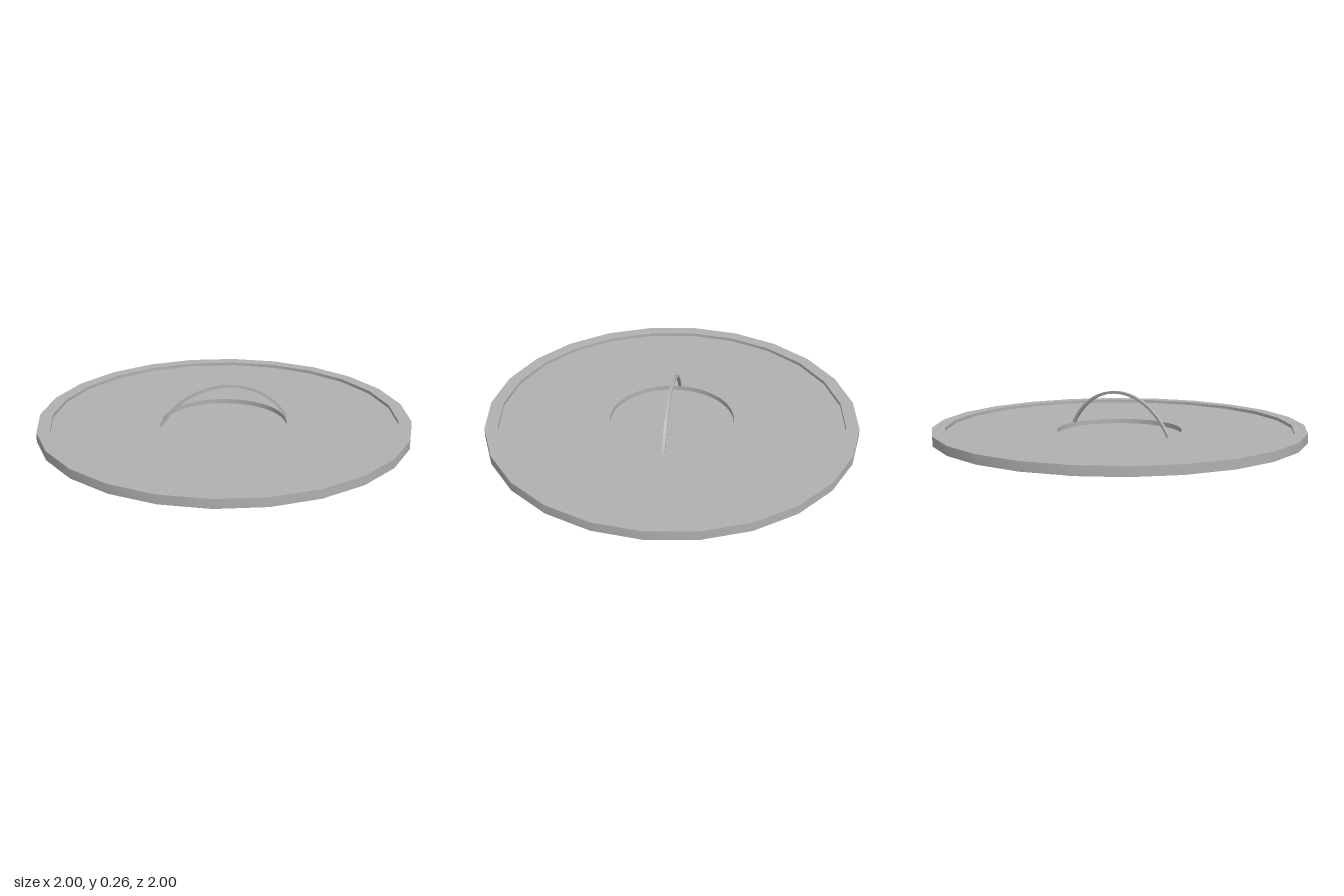
import * as THREE from 'three';
import { toCreasedNormals } from 'three/addons/utils/BufferGeometryUtils.js';

const RIM_SIDES = 24, BOWL_SIDES = 32;
const BOWL_R = 0.335, PLATE_Y = 0.053, FLOOR_Y = 0.028;

export function createModel() {
  const group = new THREE.Group();
  group.name = 'lid';
  const metal = new THREE.MeshStandardMaterial({ color: 0xb0b0b0 });
  metal.name = 'grey metal';

  const add = (name, geometry) => {
    const mesh = new THREE.Mesh(geometry, metal);
    mesh.name = name;
    group.add(mesh);
    return mesh;
  };
  const lathe = (points, sides) => toCreasedNormals(
    new THREE.LatheGeometry(points.map(([r, y]) => new THREE.Vector2(r, y)), sides), 0.5);
  const ring = (radius, sides) => Array.from({ length: sides }, (_, i) => {
    const a = (i / sides) * Math.PI * 2;
    return new THREE.Vector2(Math.cos(a) * radius, Math.sin(a) * radius);
  });

  // Underside plug, outer rim and raised lip
  add('rim', lathe([
    [0, 0], [0.915, 0], [0.915, 0.02], [1, 0.02], [1, 0.07], [0.93, 0.07], [0.93, PLATE_Y],
  ], RIM_SIDES));

  // Flat top plate with a round opening for the finger recess
  const plateShape = new THREE.Shape(ring(0.93, RIM_SIDES));
  plateShape.holes.push(new THREE.Path(ring(BOWL_R, BOWL_SIDES)));
  add('topPlate', new THREE.ShapeGeometry(plateShape).rotateX(-Math.PI / 2).translate(0, PLATE_Y, 0));

  // Sunken finger recess
  add('fingerRecess', lathe([[BOWL_R, PLATE_Y], [BOWL_R, FLOOR_Y], [0, FLOOR_Y]].reverse()
    .reverse(), BOWL_SIDES));

  // Thin arched handle, its feet sunk into the plate
  const outer = 0.4, inner = 0.386, half = 1.1, steps = 24;
  const arc = (r) => Array.from({ length: steps + 1 }, (_, i) => {
    const a = -half + (2 * half * i) / steps;
    return new THREE.Vector2(Math.sin(a) * r, Math.cos(a) * r);
  });
  const handleShape = new THREE.Shape([...arc(outer), ...arc(inner).reverse()]);
  const handle = new THREE.ExtrudeGeometry(handleShape, { depth: 0.016, bevelEnabled: false });
  handle.translate(0, 0.26 - outer, -0.008);
  add('handle', toCreasedNormals(handle, 0.5));

  return group;
}
